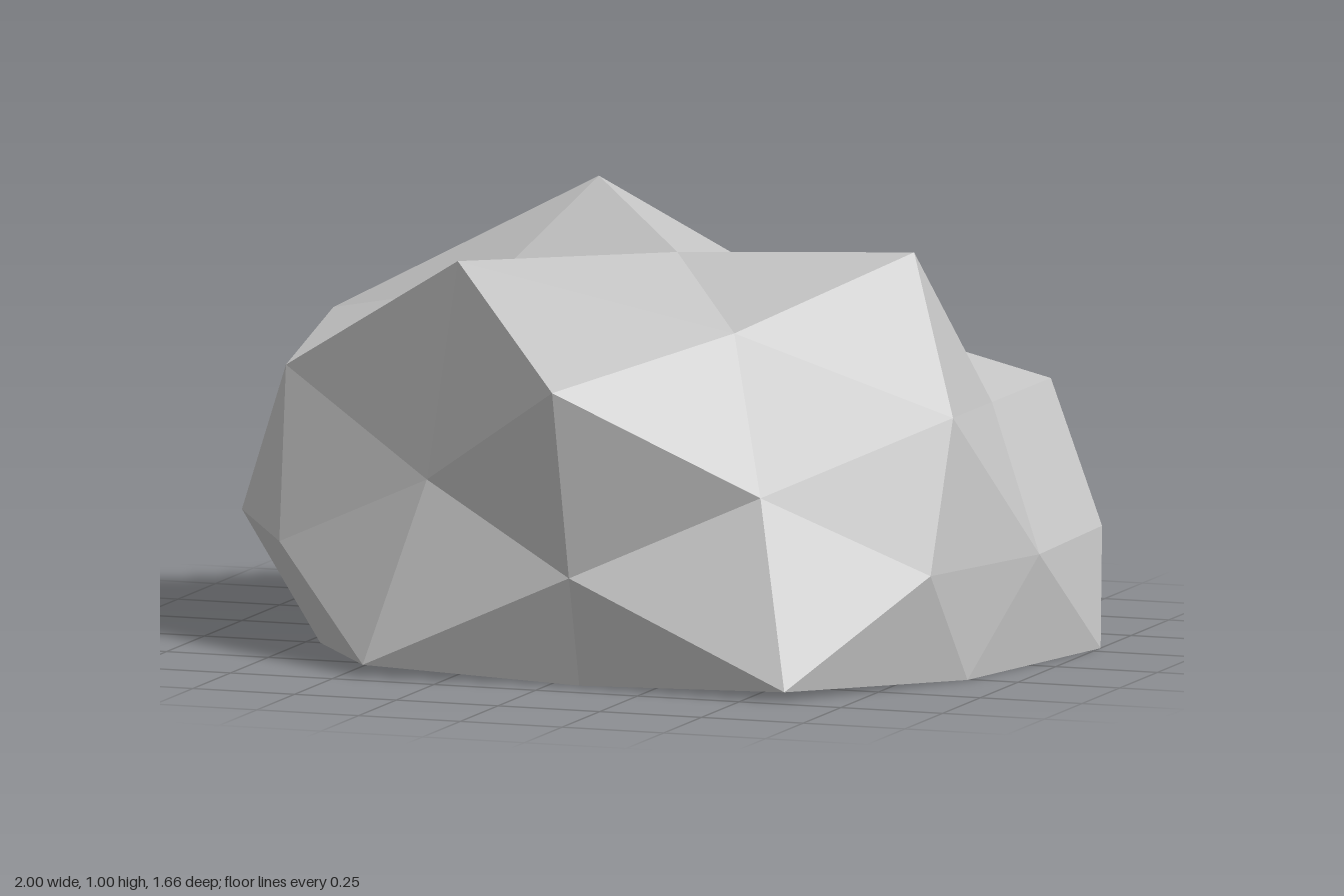
import * as THREE from 'three';

// How far each corner of the boulder bulges or dents, keyed by its direction (x,y,z in tenths).
// Corners not listed lie in the flat underside and keep a radius of 1.
const RADII = {
  // crown
  '0,10,0': 0.9, '5,9,0': 1.107, '-5,9,0': 0.89,
  '3,8,5': 0.91, '-3,8,5': 1.163, '3,8,-5': 0.82, '-3,8,-5': 1.25,
  // shoulders
  '0,5,9': 1.168, '0,5,-9': 1.04,
  '8,5,3': 0.95, '-8,5,3': 1.063, '8,5,-3': 0.855, '-8,5,-3': 1.185,
  '5,3,8': 0.82, '-5,3,8': 0.82, '5,3,-8': 1.223, '-5,3,-8': 1.14,
  // waist
  '9,0,5': 0.905, '9,0,-5': 1.03, '-9,0,5': 0.965, '-9,0,-5': 0.79,
  '10,0,0': 0.89, '-10,0,0': 1.07, '0,0,10': 0.86, '0,0,-10': 0.873,
  // foot
  '5,-3,8': 1.055, '-5,-3,8': 1.03, '5,-3,-8': 0.907, '-5,-3,-8': 1.17,
  '8,-5,3': 1.0, '-8,-5,3': 0.97, '8,-5,-3': 1.15, '-8,-5,-3': 1.22,
  '0,-5,9': 0.914, '0,-5,-9': 1.17,
};

const SCALE = new THREE.Vector3(1, 0.73, 0.836);
const CENTRE = new THREE.Vector3(0.07, 0.26, 0);

export function createModel() {
  const group = new THREE.Group();
  group.name = 'boulder';

  const stone = new THREE.MeshStandardMaterial({ color: 0xc4c4c4 });
  stone.name = 'stone grey';

  // Faceted ball, dented corner by corner, squashed and flattened on the ground
  const geometry = new THREE.IcosahedronGeometry(1, 1);
  const position = geometry.attributes.position;
  const v = new THREE.Vector3();
  for (let i = 0; i < position.count; i++) {
    v.fromBufferAttribute(position, i).normalize();
    const key = [v.x, v.y, v.z].map((n) => Math.round(n * 10)).join(',');
    v.multiplyScalar(RADII[key] ?? 1).multiply(SCALE).add(CENTRE);
    position.setXYZ(i, v.x, Math.max(v.y, 0), v.z);
  }
  geometry.computeVertexNormals(); // unshared corners keep the facets flat

  const rock = new THREE.Mesh(geometry, stone);
  rock.name = 'rock';
  group.add(rock);
  return group;
}
